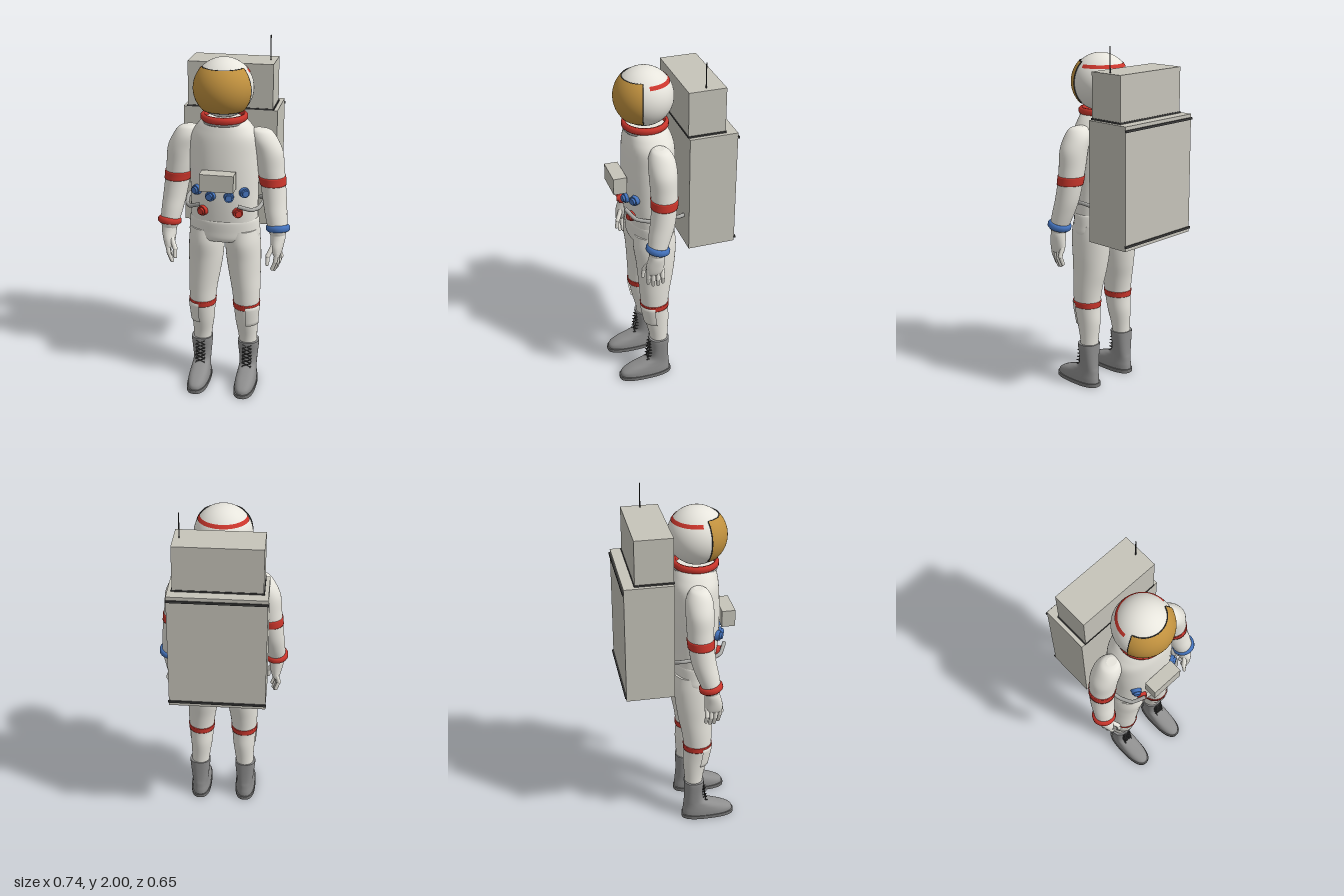
import * as THREE from 'three';

const mat = (name, color, side = THREE.FrontSide) => {
  const m = new THREE.MeshStandardMaterial({ color, side });
  m.name = name;
  return m;
};

// Smoothly resample rows of [y, centreX, centreZ, radiusX, radiusZ], ordered top to bottom
function resample(rows, steps = 6) {
  const out = [];
  const at = (i) => rows[Math.max(0, Math.min(rows.length - 1, i))];
  for (let i = 0; i < rows.length - 1; i++) {
    for (let k = 0; k < steps; k++) {
      const t = k / steps;
      out.push(rows[i].map((p1, c) => {
        const p0 = at(i - 1)[c], p2 = at(i + 1)[c], p3 = at(i + 2)[c];
        return 0.5 * (2 * p1 + (p2 - p0) * t + (2 * p0 - 5 * p1 + 4 * p2 - p3) * t * t
          + (3 * p1 - p0 - 3 * p2 + p3) * t * t * t);
      }));
    }
  }
  out.push(rows[rows.length - 1].slice());
  return out;
}

// Skin a stack of horizontal (super)ellipses; angle 0 is the front, growing towards +x
function skin(rows, { power = 2, from = 0, to = Math.PI * 2, segments = 40 } = {}) {
  const full = to - from > 6.28, cols = full ? segments : segments + 1;
  const pos = [], idx = [];
  const curve = (v) => Math.sign(v) * Math.pow(Math.abs(v), 2 / power);
  for (const [y, x, z, rx, rz] of rows) {
    for (let j = 0; j < cols; j++) {
      const a = from + (to - from) * j / segments;
      pos.push(x + rx * curve(Math.sin(a)), y, z + rz * curve(Math.cos(a)));
    }
  }
  for (let i = 0; i < rows.length - 1; i++) {
    for (let j = 0; j < segments; j++) {
      const a = i * cols + j, b = i * cols + (j + 1) % cols;
      idx.push(a, a + cols, b, b, a + cols, b + cols);
    }
  }
  const g = new THREE.BufferGeometry();
  g.setAttribute('position', new THREE.Float32BufferAttribute(pos, 3));
  g.setIndex(idx);
  g.computeVertexNormals();
  return g;
}

// Closed body: the stack with its two ends drawn in
function body(rows, options) {
  const r = resample(rows), a = r[0], b = r[r.length - 1];
  return skin([[a[0], a[1], a[2], 0, 0], a, ...r, b, [b[0], b[1], b[2], 0, 0]], options);
}

// Band hugging a stack between two heights
function band(rows, top, bottom, offset, options) {
  const r = resample(rows);
  const at = (y, o) => {
    let i = 0;
    while (i < r.length - 2 && r[i + 1][0] > y) i++;
    const t = (y - r[i][0]) / (r[i + 1][0] - r[i][0]);
    const s = r[i].map((v, c) => v + (r[i + 1][c] - v) * t);
    return [y, s[1], s[2], s[3] + o, s[4] + o];
  };
  const list = [at(top, -0.004)];
  for (let k = 0; k <= 6; k++) list.push(at(top + (bottom - top) * k / 6, offset));
  list.push(at(bottom, -0.004));
  return skin(list, options);
}

const mirror = (rows, s) => rows.map(([y, x, z, rx, rz]) => [y, x * s, z, rx, rz]);

export function createModel() {
  const model = new THREE.Group();
  model.name = 'astronaut';
  const suit = mat('suit white', 0xe8e6de, THREE.DoubleSide);
  const pack = mat('pack grey', 0xc6c4ba);
  const red = mat('signal red', 0xcc362c, THREE.DoubleSide);
  const blue = mat('fitting blue', 0x4473bd);
  const gold = mat('visor gold', 0xc2923f, THREE.DoubleSide);
  const boot = mat('boot grey', 0x8e8e8e);
  const sole = mat('sole grey', 0x747474);
  const dark = mat('trim dark', 0x3c3c3c);
  const hoseGrey = mat('hose grey', 0xa9a9a6);

  const add = (name, geometry, material, x = 0, y = 0, z = 0) => {
    const m = new THREE.Mesh(geometry, material);
    m.name = name;
    m.position.set(x, y, z);
    model.add(m);
    return m;
  };
  const box = (name, m, w, h, d, x, y, z) => add(name, new THREE.BoxGeometry(w, h, d), m, x, y, z);
  const rod = (name, m, a, b, r) => {
    const p = new THREE.Vector3(...a), q = new THREE.Vector3(...b), d = q.clone().sub(p);
    const mesh = add(name, new THREE.CapsuleGeometry(r, d.length(), 4, 10), m);
    mesh.position.copy(p).add(q).multiplyScalar(0.5);
    mesh.quaternion.setFromUnitVectors(new THREE.Vector3(0, 1, 0), d.normalize());
  };
  const ring = (name, m, r, h, x, y, z) => {
    const i = r - 0.02, e = h / 2, c = h * 0.25;
    const pts = [[i, -e], [r - c, -e], [r, -e + c], [r, e - c], [r - c, e], [i, e], [i, -e]];
    return add(name, new THREE.LatheGeometry(pts.map((p) => new THREE.Vector2(...p)), 40), m, x, y, z);
  };

  // Torso and pelvis
  add('torso', body([[1.6, 0, 0.105, 0.115, 0.108], [1.56, 0, 0.1, 0.15, 0.122], [1.5, 0, 0.095, 0.184, 0.136],
    [1.4, 0, 0.095, 0.19, 0.142], [1.3, 0, 0.097, 0.19, 0.142], [1.2, 0, 0.1, 0.187, 0.137],
    [1.1, 0, 0.1, 0.187, 0.129], [0.99, 0, 0.095, 0.188, 0.122]], { power: 2.15, segments: 56 }), suit);
  add('pelvis', body([[1.045, 0, 0.097, 0.185, 0.122], [1.035, 0, 0.097, 0.193, 0.129], [0.98, 0, 0.094, 0.198, 0.129],
    [0.935, 0, 0.092, 0.2, 0.127], [0.915, 0, 0.092, 0.18, 0.11], [0.9, 0, 0.092, 0.1, 0.06]], { segments: 56 }), suit);

  // Helmet with visor, visor rim, rear stripe and neck ring
  const hy = 1.77, hz = 0.113, half = 1.24, t0 = 0.795, t1 = 2.33;
  add('helmet', new THREE.SphereGeometry(0.16, 48, 32), suit, 0, hy, hz);
  add('visor', new THREE.SphereGeometry(0.165, 40, 24, Math.PI / 2 - half, half * 2, t0, t1 - t0), gold, 0, hy, hz);
  const rim = [];
  const onHelmet = (a, t) => rim.push(new THREE.Vector3(Math.sin(a) * Math.sin(t), Math.cos(t), Math.cos(a) * Math.sin(t)).multiplyScalar(0.163));
  for (let k = 0; k < 16; k++) onHelmet(-half + 2 * half * k / 16, t0);
  for (let k = 0; k < 10; k++) onHelmet(half, t0 + (t1 - t0) * k / 10);
  for (let k = 0; k < 16; k++) onHelmet(half - 2 * half * k / 16, t1);
  for (let k = 0; k < 10; k++) onHelmet(-half, t1 - (t1 - t0) * k / 10);
  add('visorRim', new THREE.TubeGeometry(new THREE.CatmullRomCurve3(rim, true), 120, 0.0032, 6, true), dark, 0, hy, hz);
  add('helmetStripe', new THREE.SphereGeometry(0.1625, 40, 3, Math.PI - 0.06, Math.PI + 0.12, 0.88, 0.14), red, 0, hy, hz);
  ring('neckRing', red, 0.127, 0.038, 0, 1.612, 0.108);
  ring('neckSeal', hoseGrey, 0.121, 0.012, 0, 1.588, 0.108);

  // Life support pack
  box('packLower', pack, 0.525, 0.672, 0.266, 0, 1.271, -0.188);
  box('packUpper', pack, 0.474, 0.247, 0.206, 0, 1.738, -0.157);
  box('packSeam', dark, 0.484, 0.009, 0.212, 0, 1.612, -0.157);
  for (const y of [1.582, 0.96]) box('packStrip', dark, 0.532, 0.012, 0.009, 0, y, -0.324);
  add('antenna', new THREE.CylinderGeometry(0.003, 0.003, 0.14, 8), dark, 0.205, 1.93, -0.157);

  // Chest control box and round fittings
  box('chestBox', pack, 0.185, 0.095, 0.075, -0.002, 1.297, 0.278);
  const knob = (name, m, x, y, z) => {
    const g = new THREE.Group();
    g.name = name;
    [[0.03, 0.03, 0], [0.02, 0.014, 0.02]].forEach(([r, l, d]) => {
      const k = new THREE.Mesh(new THREE.CylinderGeometry(r * 0.9, r, l, 12), m);
      k.name = name + 'Part';
      k.rotation.x = Math.PI / 2;
      k.position.z = d;
      g.add(k);
    });
    g.position.set(x, y, z);
    g.rotation.y = x * 4;
    model.add(g);
  };

  for (const s of [1, -1]) {
    const side = s > 0 ? 'left' : 'right';
    knob(side + 'OuterKnob', blue, 0.13 * s, 1.22, 0.21);
    knob(side + 'InnerKnob', blue, 0.05 * s, 1.197, 0.235);
    knob(side + 'RedKnob', red, 0.097 * s, 1.105, 0.22);

    // Hose from pack to front
    const path = [[0.17, 1.1, -0.06], [0.212, 1.12, -0.01], [0.214, 1.125, 0.06], [0.2, 1.115, 0.15], [0.168, 1.125, 0.218], [0.1, 1.155, 0.255]]
      .map(([x, y, z]) => new THREE.Vector3(x * s, y, z));
    add(side + 'Hose', new THREE.TubeGeometry(new THREE.CatmullRomCurve3(path, false, 'catmullrom', 0.25), 40, 0.011, 10), hoseGrey);

    // Arm with red band and wrist ring
    const arm = mirror([[1.548, 0.19, 0.087, 0.03, 0.025], [1.535, 0.2, 0.087, 0.055, 0.05], [1.49, 0.215, 0.085, 0.073, 0.072],
      [1.42, 0.24, 0.085, 0.079, 0.076], [1.33, 0.253, 0.085, 0.075, 0.073], [1.25, 0.266, 0.087, 0.07, 0.07],
      [1.15, 0.28, 0.1, 0.066, 0.068], [1.07, 0.292, 0.12, 0.061, 0.063], [1, 0.303, 0.138, 0.053, 0.053], [0.96, 0.306, 0.142, 0.042, 0.04]], s);
    add(side + 'Arm', body(arm), suit);
    add(side + 'ArmBand', band(arm, 1.285, 1.238, 0.004), red);
    ring(side + 'WristRing', s > 0 ? blue : red, 0.066, 0.038, 0.306 * s, 1, 0.137).rotation.set(-0.22, 0, 0.06 * s);

    // Gloved hand
    add(side + 'Palm', body(mirror([[0.985, 0.306, 0.142, 0.04, 0.04], [0.95, 0.308, 0.145, 0.042, 0.043], [0.9, 0.306, 0.152, 0.035, 0.05],
      [0.86, 0.306, 0.153, 0.025, 0.049], [0.84, 0.308, 0.152, 0.014, 0.04]], s), { segments: 24 }), suit);
    for (let i = 0; i < 4; i++) {
      const z = 0.115 + 0.025 * i, drop = [0.02, 0.004, 0, 0.012][i], x = 0.325 - 0.008 * i;
      rod(side + 'Finger', suit, [0.31 * s, 0.87, z], [x * s, 0.805 + drop, z], 0.0125);
      rod(side + 'FingerTip', suit, [x * s, 0.805 + drop, z], [(x - 0.016) * s, 0.76 + drop, z - 0.004], 0.0105);
    }
    rod(side + 'Thumb', suit, [0.288 * s, 0.91, 0.175], [0.262 * s, 0.855, 0.203], 0.0135);
    rod(side + 'ThumbTip', suit, [0.262 * s, 0.855, 0.203], [0.261 * s, 0.81, 0.211], 0.011);

    // Leg with red band and shin pocket
    const leg = mirror([[0.98, 0.1, 0.092, 0.093, 0.115], [0.9, 0.103, 0.092, 0.099, 0.122], [0.8, 0.108, 0.09, 0.098, 0.112],
      [0.7, 0.115, 0.093, 0.09, 0.101], [0.6, 0.124, 0.1, 0.081, 0.088], [0.5, 0.128, 0.103, 0.073, 0.079],
      [0.4, 0.128, 0.092, 0.065, 0.072], [0.3, 0.133, 0.083, 0.055, 0.056], [0.22, 0.137, 0.08, 0.05, 0.05]], s);
    add(side + 'Leg', body(leg), suit);
    add(side + 'KneeBand', band(leg, 0.523, 0.49, 0.004), red);
    add(side + 'ShinPocket', band(leg, 0.509, 0.385, 0.008, s > 0 ? { from: 0.1, to: 1.35 } : { from: -1.35, to: -0.1 }), suit);

    // Boot, sole and crossed laces
    const bx = 0.138;
    add(side + 'Boot', body(mirror([[0.262, bx, 0.083, 0.061, 0.059], [0.24, bx, 0.083, 0.061, 0.058], [0.17, bx, 0.081, 0.054, 0.055],
      [0.12, bx, 0.087, 0.05, 0.062], [0.095, bx, 0.112, 0.051, 0.09], [0.07, bx, 0.146, 0.055, 0.126],
      [0.045, bx, 0.165, 0.058, 0.148], [0.018, bx, 0.168, 0.058, 0.152]], s), { power: 2.4 }), boot);
    const edge = [bx, 0.168, 0.062, 0.158];
    const soleRows = mirror([[0.022, bx, 0.168, 0, 0], [0.022, ...edge], [0.022, ...edge], [0, ...edge], [0, ...edge], [0, bx, 0.168, 0, 0]], s);
    const soleMesh = skin(soleRows, { power: 2.6 }).toNonIndexed();
    soleMesh.computeVertexNormals();
    add(side + 'Sole', soleMesh, sole);
    for (let k = 0; k < 6; k++) {
      const y = 0.115 + 0.022 * k, z = 0.162 - 0.003 * k;
      for (const d of [1, -1]) {
        rod(side + 'Lace', dark, [bx * s - 0.024 * d, y, z - 0.008], [bx * s + 0.024 * d, y + 0.022, z - 0.008], 0.0028);
        rod(side + 'LaceHook', dark, [bx * s + 0.024 * d, y, 0.125], [bx * s + 0.024 * d, y, z], 0.0028);
      }
    }
  }
  return model;
}
